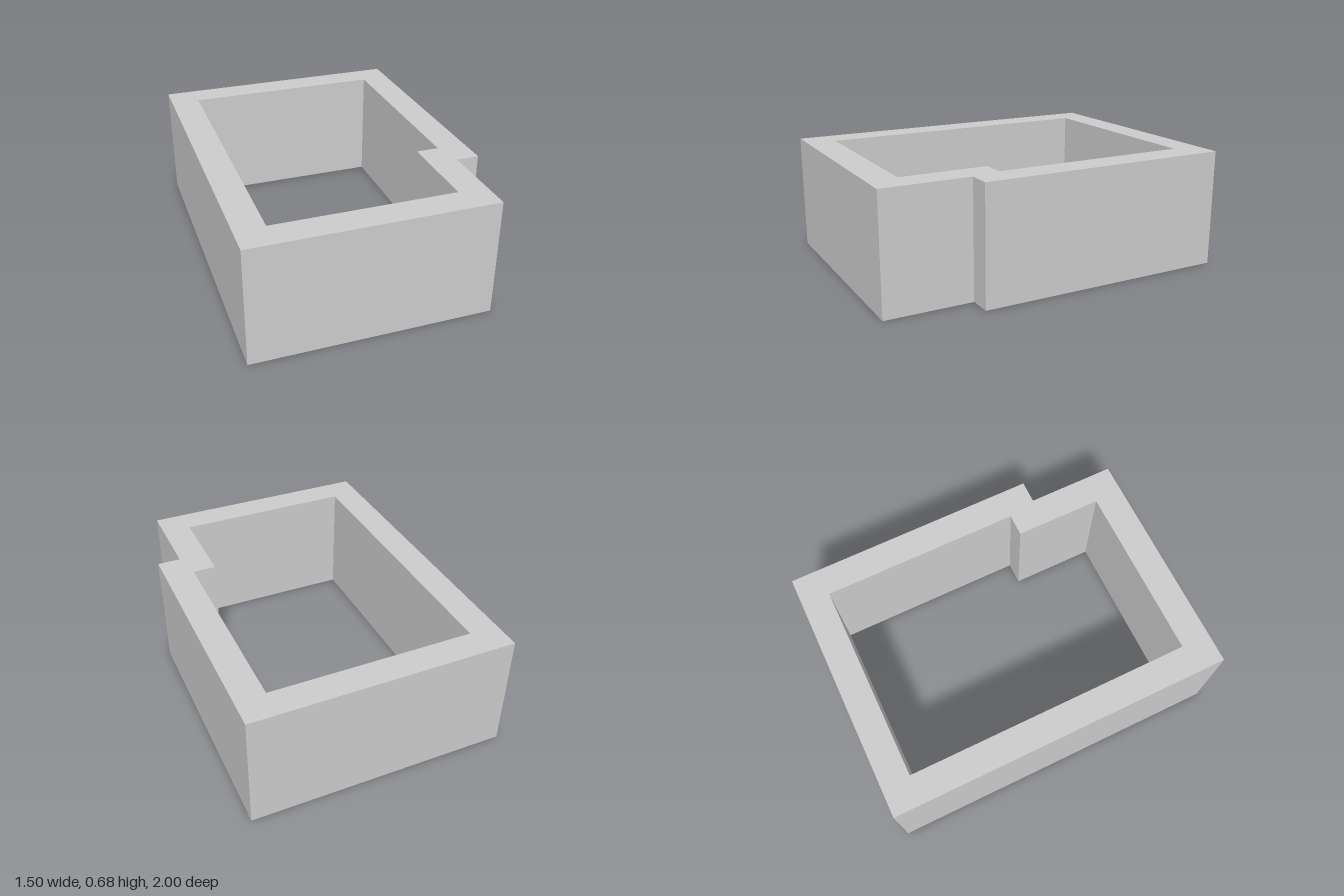
import * as THREE from 'three';

const HEIGHT = 0.68;

// Rectangular plan with a notch at the front left corner, in x and z
const notchedPlan = (left, right, back, front, notchX, notchZ) =>
  [[left, front], [notchX, front], [notchX, notchZ], [right, notchZ], [right, back], [left, back]]
    .map(([x, z]) => new THREE.Vector2(x, -z));

export function createModel() {
  const group = new THREE.Group();
  group.name = 'notchedWallEnclosure';

  // Outer wall line with the inner room cut out
  const plan = new THREE.Shape(notchedPlan(-0.748, 0.748, -1, 1, 0.616, 0.49));
  plan.holes.push(new THREE.Path(notchedPlan(-0.58, 0.58, -0.835, 0.83, 0.449, 0.323)));

  // Raise the plan into walls
  const geometry = new THREE.ExtrudeGeometry(plan, { depth: HEIGHT, bevelEnabled: false });
  geometry.rotateX(-Math.PI / 2);

  const walls = new THREE.Mesh(geometry, new THREE.MeshStandardMaterial({ color: 0xcccccc }));
  walls.name = 'walls';
  group.add(walls);
  return group;
}
